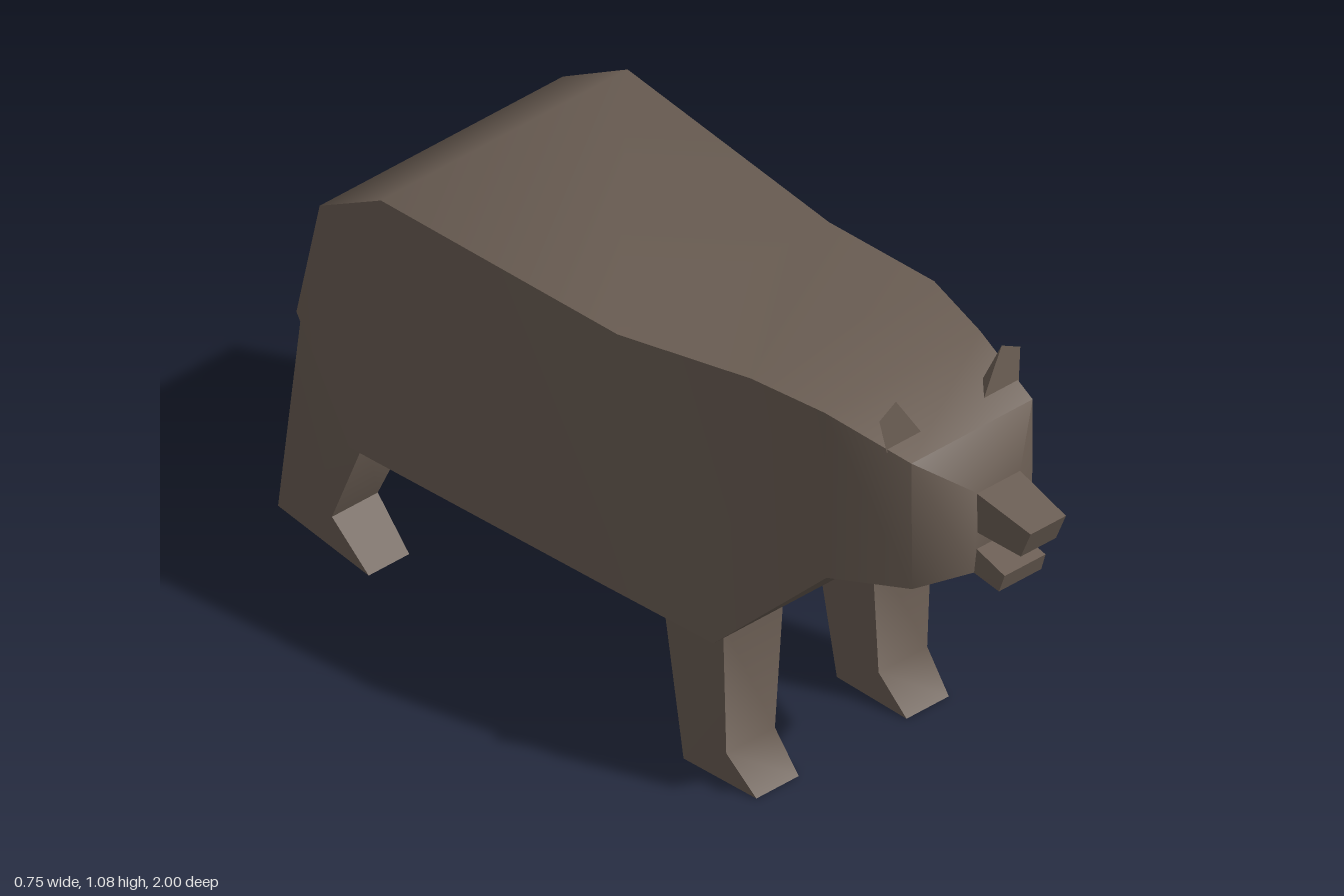
import * as THREE from 'three';
import { toCreasedNormals } from 'three/addons/utils/BufferGeometryUtils.js';
import { ConvexGeometry } from 'three/addons/geometries/ConvexGeometry.js';

// Joins rings of corners, each counter-clockwise seen from the direction of travel.
// flat() projects a corner to 2D so the two end caps can be triangulated.
function loft(rings, flat) {
  const pos = [];
  const tri = (...corners) => corners.forEach((p) => pos.push(p.x, p.y, p.z));
  const n = rings[0].length;
  for (let i = 0; i < rings.length - 1; i++) {
    for (let j = 0; j < n; j++) {
      const k = (j + 1) % n;
      const a = rings[i][j], b = rings[i][k], c = rings[i + 1][k], d = rings[i + 1][j];
      for (const t of [[a, b, c], [a, c, d]]) {
        if (new THREE.Triangle(...t).getArea() > 1e-7) tri(...t);
      }
    }
  }
  const first = rings[0], last = rings[rings.length - 1];
  for (const [a, b, c] of THREE.ShapeUtils.triangulateShape(last.map(flat), [])) {
    tri(last[a], last[b], last[c]);
    if (new THREE.Triangle(first[a], first[b], first[c]).getArea() > 1e-7) tri(first[c], first[b], first[a]);
  }
  const geo = new THREE.BufferGeometry();
  geo.setAttribute('position', new THREE.Float32BufferAttribute(pos, 3));
  return toCreasedNormals(geo, 1.05);
}

// Side profile of [z, y, inner x, outer x], mirrored when side is -1
function slab(profile, side = 1) {
  const ring = (col) => profile.map((p) => new THREE.Vector3(side * p[col], p[1], p[0]));
  const rings = side > 0 ? [ring(2), ring(3)] : [ring(3), ring(2)];
  return loft(rings, (p) => new THREE.Vector2(-p.z, p.y));
}

export function createModel() {
  const model = new THREE.Group();
  model.name = 'bear';
  const fur = new THREE.MeshStandardMaterial({ color: 0x6a5d53 });
  fur.name = 'brown fur';
  const add = (name, geo) => {
    const mesh = new THREE.Mesh(geo, fur);
    mesh.name = name;
    model.add(mesh);
  };

  // Body and head from rump to face: top z, y, half width, then bottom z, y, half width
  const stations = [
    [-0.9, 0.6, 0.345, -0.9, 0.6, 0.345],
    [-0.83, 0.9, 0.345, -0.71, 0.37, 0.375],
    [-0.64, 1.01, 0.35, -0.64, 0.37, 0.372],
    [0.02, 0.98, 0.3, 0.02, 0.37, 0.338],
    [0.38, 1.03, 0.26, 0.33, 0.37, 0.32],
    [0.56, 1.015, 0.22, 0.56, 0.6, 0.215],
    [0.77, 0.97, 0.172, 0.77, 0.655, 0.17],
    [0.85, 0.885, 0.062, 0.84, 0.68, 0.06],
  ];
  const rings = stations.map(([tz, ty, tw, bz, by, bw]) => [
    new THREE.Vector3(tw, ty, tz), new THREE.Vector3(-tw, ty, tz),
    new THREE.Vector3(-bw, by, bz), new THREE.Vector3(bw, by, bz),
  ]);
  add('body', loft(rings, (p) => new THREE.Vector2(p.x, p.y)));

  // Open mouth
  const centred = (profile) => slab(profile.map(([z, y, w]) => [z, y, -w, w]));
  add('muzzle', centred([
    [1, 0.85, 0.05], [0.97, 0.78, 0.05], [0.84, 0.78, 0.055], [0.84, 0.885, 0.062],
  ]));
  add('lowerJaw', centred([
    [0.93, 0.715, 0.058], [0.915, 0.67, 0.06], [0.835, 0.68, 0.06], [0.835, 0.74, 0.055],
  ]));

  const frontLeg = [
    [0.335, 0.41, 0.125, 0.297], [0.332, 0.08, 0.147, 0.285], [0.41, 0, 0.153, 0.273],
    [0.2, 0, 0.153, 0.282], [0.15, 0.41, 0.125, 0.297],
  ];
  const hindLeg = [
    [-0.71, 0.37, 0.165, 0.325], [-0.83, 0.105, 0.18, 0.31], [-0.73, 0.003, 0.185, 0.3],
    [-1, 0.045, 0.185, 0.303], [-0.895, 0.6, 0.165, 0.335], [-0.75, 0.55, 0.165, 0.335],
  ];
  for (const side of [1, -1]) {
    const label = side > 0 ? 'left' : 'right';
    add(label + 'FrontLeg', slab(frontLeg, side));
    add(label + 'HindLeg', slab(hindLeg, side));
    // Ear: flat front with a ridge behind
    const ear = [
      [0.085, 0.975, 0.712], [0.187, 0.975, 0.712], [0.2, 1.055, 0.703],
      [0.15, 1.08, 0.7], [0.125, 0.985, 0.665],
    ].map(([x, y, z]) => new THREE.Vector3(side * x, y, z));
    add(label + 'Ear', new ConvexGeometry(ear));
  }
  return model;
}
